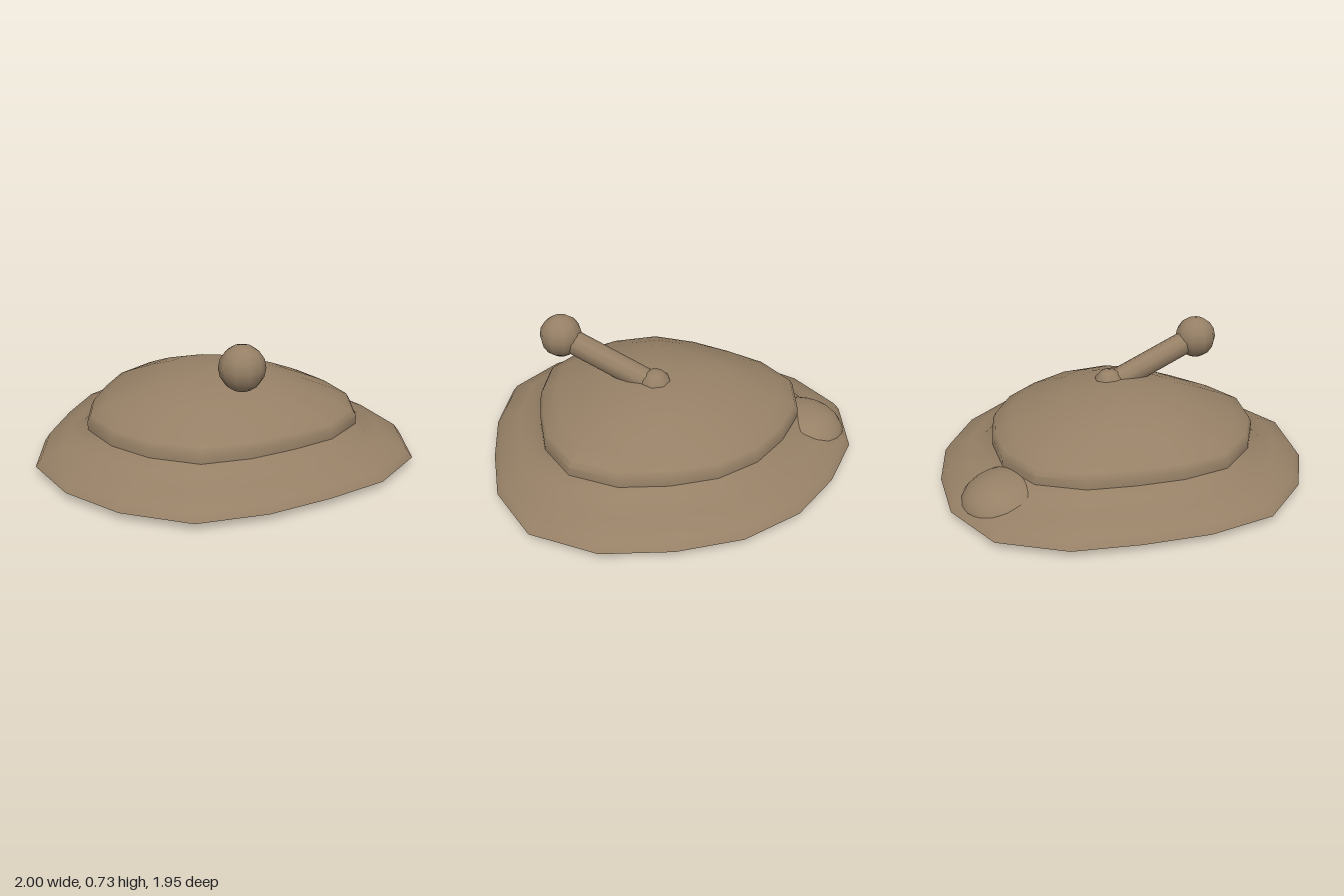
import * as THREE from 'three';
import { toCreasedNormals } from 'three/addons/utils/BufferGeometryUtils.js';

// Half of the egg-shaped plan outline, front to back (x, z)
const HALF = [[0.17, 0.97], [0.51, 0.85], [0.73, 0.58], [0.88, 0.28], [1, -0.03],
  [1, -0.39], [0.79, -0.69], [0.49, -0.87], [0.17, -0.98]];
const OUTLINE = [...HALF, ...HALF.map(([x, z]) => [-x, z]).reverse()];

// Outline scale and height, from the underside rim to the crown
const PROFILE = [[0.92, 0], [1, 0.04], [0.97, 0.08], [0.85, 0.125], [0.765, 0.155], [0.717, 0.2],
  [0.717, 0.245], [0.7, 0.275], [0.62, 0.31], [0.46, 0.375], [0.3, 0.428], [0.15, 0.446], [0, 0.46]];

// Triangular pocket in the underside (x, z)
const POCKET = [[-0.17, -0.04], [-0.42, 0.1], [-0.7, 0.08], [-0.82, -0.1], [-0.86, -0.42], [-0.62, -0.62], [-0.39, -0.32]];

function loft(outline, profile) {
  const positions = [], index = [], n = outline.length;
  for (const [s, y] of profile) for (const [x, z] of outline) positions.push(x * s, y, z * s);
  for (let j = 0; j < profile.length - 1; j++) {
    for (let i = 0; i < n; i++) {
      const k = (i + 1) % n;
      const a = j * n + i, b = j * n + k, c = a + n, d = b + n;
      index.push(a, b, d);
      if (profile[j + 1][0] > 0) index.push(a, d, c);
    }
  }
  const geometry = new THREE.BufferGeometry();
  geometry.setAttribute('position', new THREE.Float32BufferAttribute(positions, 3));
  geometry.setIndex(index);
  return toCreasedNormals(geometry, 0.75);
}

const points = (list, s = 1) => list.map(([x, z]) => new THREE.Vector2(x * s, z * s));

export function createModel() {
  const model = new THREE.Group();
  const tan = new THREE.MeshStandardMaterial({ color: 0x968066, side: THREE.DoubleSide });
  tan.name = 'tan';

  const add = (name, geometry, position = [0, 0, 0]) => {
    const mesh = new THREE.Mesh(geometry, tan);
    mesh.name = name;
    mesh.position.set(...position);
    model.add(mesh);
    return mesh;
  };

  // Domed shell with a wide brim
  add('shell', loft(OUTLINE, PROFILE));

  // Floor slab with the pocket cut out of it
  const floorShape = new THREE.Shape(points(OUTLINE, 0.92));
  floorShape.holes.push(new THREE.Path(points(POCKET)));
  const depth = 0.075;
  add('floor', new THREE.ExtrudeGeometry(floorShape, { depth, bevelEnabled: false }), [0, depth, 0])
    .rotation.x = Math.PI / 2;
  add('pocketCeiling', new THREE.ShapeGeometry(new THREE.Shape(points(POCKET))), [0, depth - 0.002, 0])
    .rotation.x = Math.PI / 2;

  // Rounded swelling on the brim above the pocket
  add('brimSwelling', new THREE.SphereGeometry(1, 20, 8, 0, Math.PI * 2, 0, 1.4), [-0.65, 0.05, -0.44])
    .scale.set(0.24, 0.16, 0.24);

  // Slanted stalk with a ball at each end
  const foot = new THREE.Vector3(0.09, 0.41, -0.09);
  const tip = new THREE.Vector3(0.41, 0.612, 0.34);
  const axis = tip.clone().sub(foot);
  const stalk = add('stalk', new THREE.CylinderGeometry(0.065, 0.065, axis.length(), 10),
    foot.clone().lerp(tip, 0.5).toArray());
  stalk.quaternion.setFromUnitVectors(new THREE.Vector3(0, 1, 0), axis.normalize());
  add('stalkFoot', new THREE.SphereGeometry(0.09, 8, 6), foot.toArray());
  add('stalkBall', new THREE.SphereGeometry(0.115, 10, 8), tip.toArray());

  return model;
}
